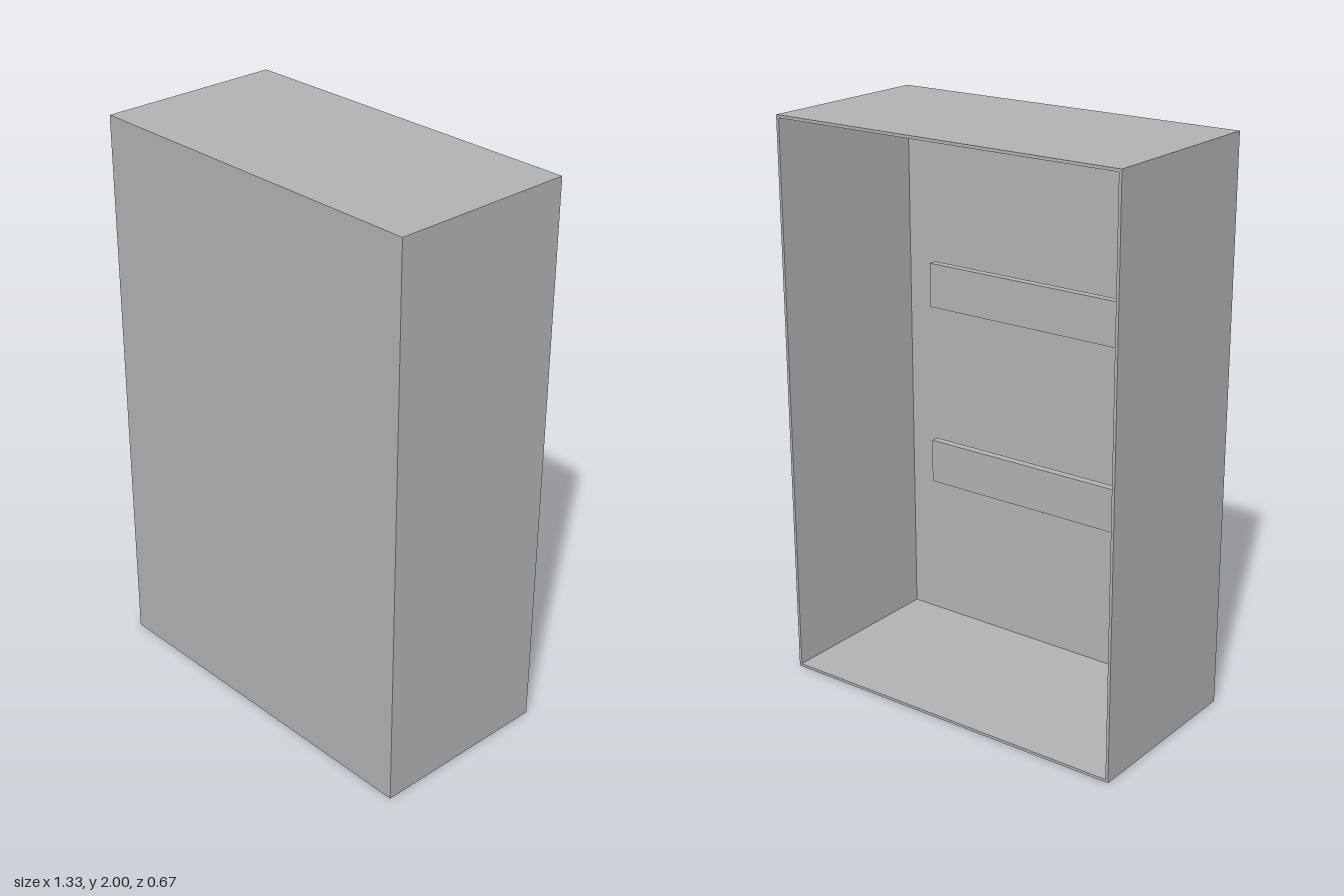
import * as THREE from 'three';

const W = 1.333, H = 2, D = 0.667, T = 0.01; // outer size and wall thickness

export function createModel() {
  const group = new THREE.Group();
  const grey = new THREE.MeshStandardMaterial({ color: 0xb0b2b4 });
  grey.name = 'light grey';

  const box = (name, size, pos) => {
    const mesh = new THREE.Mesh(new THREE.BoxGeometry(...size), grey);
    mesh.name = name;
    mesh.position.set(...pos);
    group.add(mesh);
  };

  // Shell, open at the back
  box('frontPanel', [W, H, T], [0, H / 2, D / 2 - T / 2]);
  for (const [side, s] of [['left', 1], ['right', -1]]) {
    box(side + 'Wall', [T, H, D - T], [s * (W - T) / 2, H / 2, -T / 2]);
  }
  box('topPanel', [W - 2 * T, T, D - T], [0, H - T / 2, -T / 2]);
  box('bottomPanel', [W - 2 * T, T, D - T], [0, T / 2, -T / 2]);

  // Two horizontal rails inside, set behind the front panel
  [['lowerRail', 0.662], ['upperRail', 1.329]].forEach(([name, y]) =>
    box(name, [0.97, 0.16, 0.03], [0, y, 0.235]));

  return group;
}
